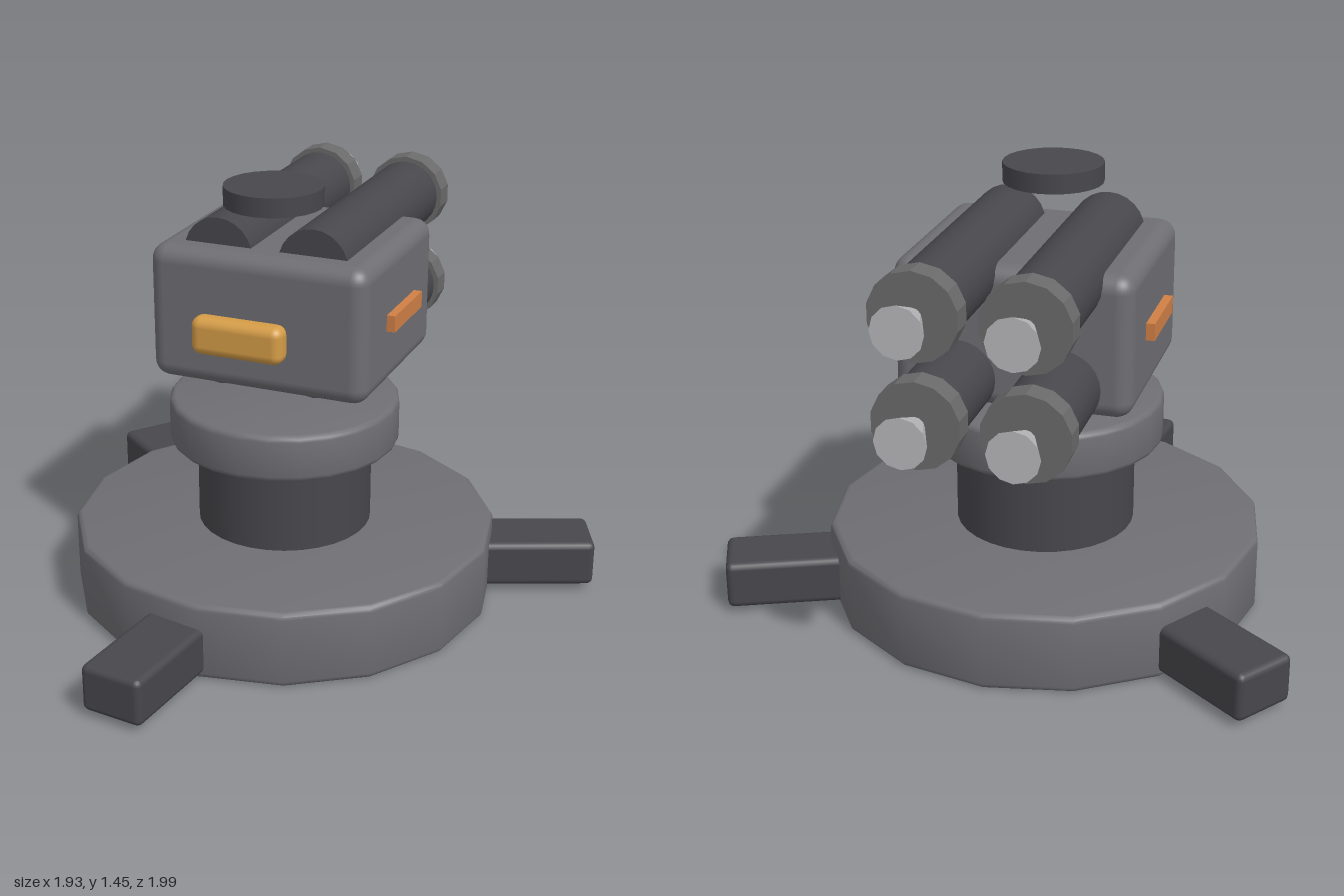
import * as THREE from 'three';
import { toCreasedNormals } from 'three/addons/utils/BufferGeometryUtils.js';
import { RoundedBoxGeometry } from 'three/addons/geometries/RoundedBoxGeometry.js';

const CX = -0.057; // turret axis
const CZ = -0.08;

function material(name, color, flatShading = false) {
  const m = new THREE.MeshStandardMaterial({ color, flatShading });
  m.name = name;
  return m;
}

// Upright disc with softly rounded rims, standing on y = 0
function bevelledDisc(radius, height, bevel, sides) {
  const profile = [new THREE.Vector2(0, 0)];
  for (let i = 0; i <= 3; i++) {
    const a = (i / 3) * Math.PI / 2;
    profile.push(new THREE.Vector2(radius - bevel + bevel * Math.sin(a), bevel - bevel * Math.cos(a)));
  }
  for (let i = 0; i <= 3; i++) {
    const a = (i / 3) * Math.PI / 2;
    profile.push(new THREE.Vector2(radius - bevel + bevel * Math.cos(a), height - bevel + bevel * Math.sin(a)));
  }
  profile.push(new THREE.Vector2(0, height));
  return toCreasedNormals(new THREE.LatheGeometry(profile, sides), 0.6);
}

export function createModel() {
  const model = new THREE.Group();
  model.name = 'turret';

  const grey = material('grey metal', 0x6e6e73);
  const dark = material('dark metal', 0x47474c);
  const steel = material('collar steel', 0x6a6a6b);
  steel.flatShading = true;
  const silver = material('silver', 0xb8b8ba, true);
  const gold = material('gold', 0xd49c47);
  const orange = material('orange', 0xd08046);

  function add(name, geometry, mat, x, y, z, parent = model) {
    const mesh = new THREE.Mesh(geometry, mat);
    mesh.name = name;
    mesh.position.set(x, y, z);
    parent.add(mesh);
    return mesh;
  }

  // Base, column and swivel ring
  add('base', bevelledDisc(0.72, 0.26, 0.02, 16), grey, CX, 0, CZ);
  add('column', new THREE.CylinderGeometry(0.295, 0.295, 0.34, 32), dark, CX, 0.41, CZ);
  add('swivelRing', bevelledDisc(0.387, 0.16, 0.02, 24), grey, CX, 0.55, CZ);

  // Three stabiliser legs around the base
  const legGeometry = new RoundedBoxGeometry(0.215, 0.16, 0.5, 2, 0.022);
  for (let i = 0; i < 3; i++) {
    const leg = new THREE.Group();
    leg.name = 'leg' + (i + 1);
    leg.position.set(CX, 0.1, CZ);
    leg.rotation.y = -0.118 + i * Math.PI * 2 / 3;
    add('legBar', legGeometry, dark, 0, 0, 0.817, leg);
    model.add(leg);
  }

  // Gun housing with front lens, side strips and hovering sensor disc
  add('housing', new RoundedBoxGeometry(0.75, 0.455, 0.655, 4, 0.055), grey, CX, 1.025, -0.16);
  add('frontLens', new RoundedBoxGeometry(0.31, 0.125, 0.078, 3, 0.032), gold, CX, 1.025, 0.286);
  for (const side of [-1, 1]) {
    add(side > 0 ? 'leftStrip' : 'rightStrip',
      new THREE.BoxGeometry(0.06, 0.055, 0.265), orange, CX + side * 0.373, 1.023, -0.163);
  }
  add('sensorDisc', new THREE.CylinderGeometry(0.162, 0.162, 0.063, 24), dark, CX, 1.418, 0.006);

  // Four barrels, each with a collar and flared nozzle, pointing to -z
  const barrelGeometry = new THREE.CylinderGeometry(0.119, 0.119, 0.875, 24).rotateX(Math.PI / 2);
  const collarGeometry = new THREE.CylinderGeometry(0.137, 0.137, 0.078, 14).rotateX(Math.PI / 2);
  const nozzleGeometry = new THREE.ConeGeometry(0.08, 0.2, 12).rotateX(Math.PI / 2);
  for (const sx of [-1, 1]) {
    for (const sy of [-1, 1]) {
      const gun = new THREE.Group();
      gun.name = (sy > 0 ? 'upper' : 'lower') + (sx > 0 ? 'Left' : 'Right') + 'Gun';
      gun.position.set(CX + sx * 0.164, 1.057 + sy * 0.165, 0);
      add('barrel', barrelGeometry, dark, 0, 0, -0.36, gun);
      add('collar', collarGeometry, steel, 0, 0, -0.837, gun);
      add('nozzle', nozzleGeometry, silver, 0, 0, -0.9, gun);
      model.add(gun);
    }
  }

  return model;
}
